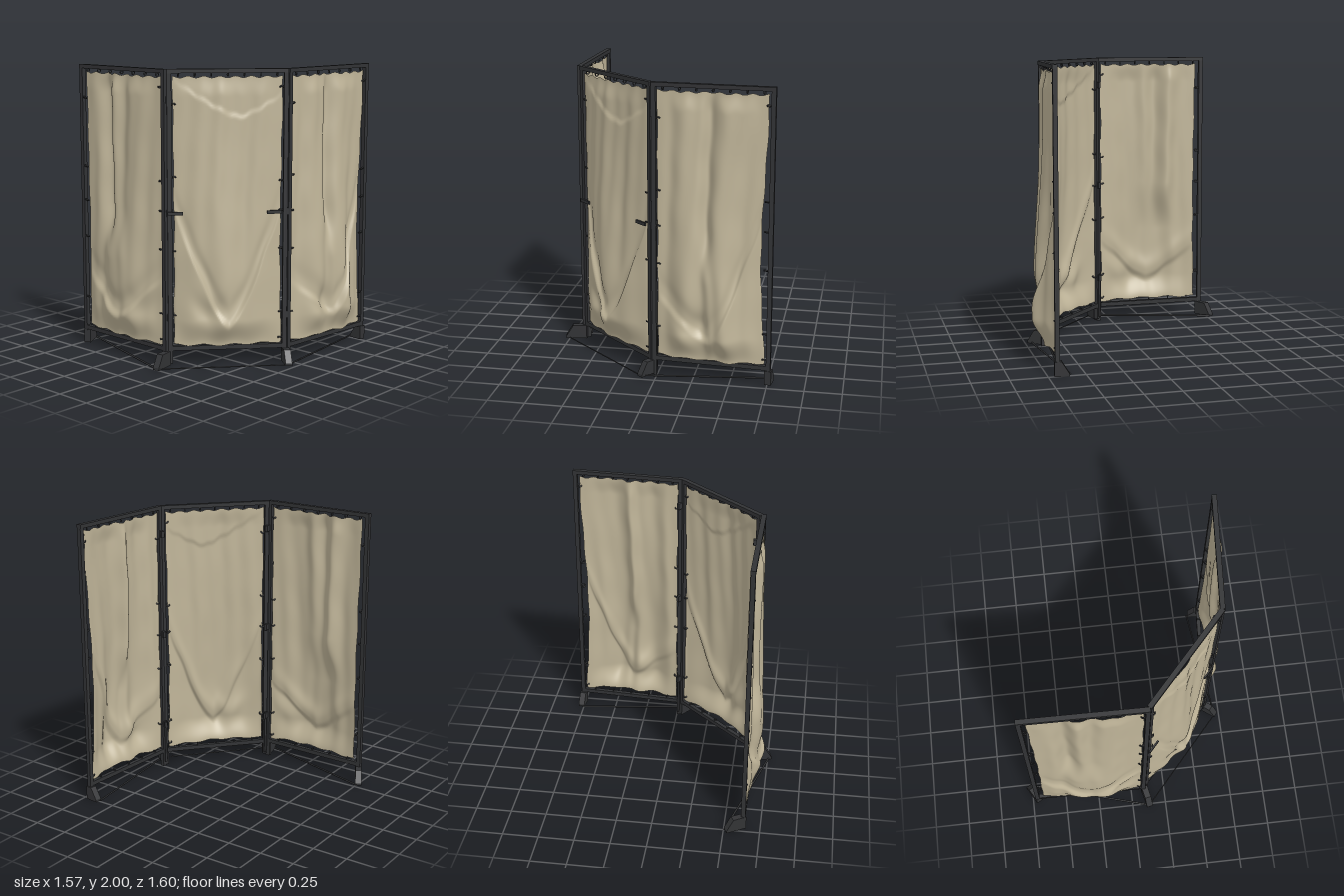
import * as THREE from 'three';

const frameMat = new THREE.MeshStandardMaterial({ color: 0x323335 });
frameMat.name = 'charcoal metal';
const clothMat = new THREE.MeshStandardMaterial({ color: 0xc0b599, side: THREE.DoubleSide });
clothMat.name = 'beige canvas';

const rise = (a, b, x) => THREE.MathUtils.smoothstep(x, a, b);
const fall = (a, b, x) => 1 - rise(a, b, x);
const bump = (x, c, s) => Math.exp(-(((x - c) / s) ** 2));

function add(parent, geo, mat, name, x = 0, y = 0, z = 0) {
  const m = new THREE.Mesh(geo, mat);
  m.name = name;
  m.position.set(x, y, z);
  parent.add(m);
  return m;
}
const box = (p, name, w, h, d, x, y, z) => add(p, new THREE.BoxGeometry(w, h, d), frameMat, name, x, y, z);

// Round bar between two points
function rod(parent, name, a, b, r) {
  const A = new THREE.Vector3(...a), B = new THREE.Vector3(...b);
  const m = add(parent, new THREE.CylinderGeometry(r, r, A.distanceTo(B), 8), frameMat, name);
  m.position.copy(A).lerp(B, 0.5);
  m.quaternion.setFromUnitVectors(new THREE.Vector3(0, 1, 0), B.sub(A).normalize());
}

// Hanging cloth: a grid pushed out by vertical folds, a low belly and draped swags.
// Each fold is [centre, width, depth at the foot, depth at the top].
function cloth(L, s) {
  const geo = new THREE.PlaneGeometry(1, 1, 100, 130);
  const p = geo.attributes.position;
  for (let i = 0; i < p.count; i++) {
    const t = p.getX(i) + 0.5, h = p.getY(i) + 0.5;
    const k = 2 * t - 1;
    const edge = Math.pow(Math.max(0, Math.sin(Math.PI * t)), 0.5);
    const ends = (0.4 + 0.6 * rise(0, 0.1, h)) * (0.5 + 0.5 * fall(0.93, 1, h));
    // outline, drawn in a little at mid height
    const waist = Math.sin(Math.PI * Math.pow(h, 0.8)) ** 2;
    const wave = 0.003 * Math.sin(h * 31);
    const x0 = s.left + s.waistL * waist + wave, x1 = L - s.right - s.waistR * waist + wave;
    const y0 = 0.148 + 0.006 * Math.cos(t * 23), y1 = 1.948 + 0.006 * Math.cos(t * 44);
    // vertical folds
    const up = rise(0.12, 0.85, h), upper = rise(0.3, 0.5, h);
    let w = 0;
    for (const [c, width, low, high] of s.folds) {
      const mix = low * high < 0 ? upper : up;
      w += (low + (high - low) * mix) * bump(t + 0.02 * Math.sin(h * 5 + c * 9), c, width);
    }
    w += 0.004 * Math.sin(t * 34 + 1.5 * Math.sin(h * 4)) * rise(0.15, 0.6, h);
    // swag hanging from both sides
    const curve = 0.09 + (k < 0 ? s.swagL : s.swagR) * Math.pow(Math.abs(k), 1.4) + 0.01 * Math.sin(t * 9);
    w += 0.022 * (fall(-0.015, 0.02, h - curve) - 0.7 * bump(h, curve + 0.05, 0.04));
    // crumpled hollow near the foot
    w -= 0.03 * bump(t, s.dent, 0.15) * bump(h, 0.15 + 0.03 * Math.sin(t * 14), 0.05);
    // folded-over upper flap
    if (s.flap) w += 0.01 * fall(-0.01, 0.01, h - (0.855 + 0.11 * Math.abs(k - 0.2) ** 1.3));
    p.setXYZ(i, x0 + (x1 - x0) * t, y0 + (y1 - y0) * h, w * edge * ends);
  }
  geo.computeVertexNormals();
  return geo;
}

// One framed panel from (x0,z0) to (x1,z1)
function panel(name, [x0, z0], [x1, z1], opts) {
  const g = new THREE.Group();
  g.name = name;
  const L = Math.hypot(x1 - x0, z1 - z0), T = 0.03;
  g.position.set(x0, 0, z0);
  g.rotation.y = Math.atan2(z0 - z1, x1 - x0);
  [[0, opts.legs[0]], [L, opts.legs[1]]].forEach(([x, y]) => box(g, 'post', T, 2 - y, T, x, 1 + y / 2, 0));
  box(g, 'topRail', L + T, 0.027, 0.034, L / 2, 1.9865, 0);
  box(g, 'bottomRail', L, T, T, L / 2, 0.123, 0);
  add(g, cloth(L, opts), clothMat, 'cloth');
  // ties round the cloth
  const small = new THREE.TorusGeometry(0.01, 0.004, 6, 12);
  for (let i = 0; i < 7; i++) {
    const x = 0.06 + (L - 0.12) * i / 6;
    add(g, small, frameMat, 'topTie', x, 1.962, 0).rotation.y = 1.2 + 0.2 * Math.sin(i * 4);
  }
  for (let i = 0; i < 5; i++) add(g, small, frameMat, 'bottomTie', 0.1 + (L - 0.2) * i / 4, 0.143, 0).rotation.y = 1.4;
  const ring = new THREE.TorusGeometry(0.012, 0.0055, 6, 12);
  [[0.028, [0.35, 0.79, 1.05, 1.29, 1.77]], [L - 0.03, [0.18, 0.36, 0.8, 1.06, 1.26, 1.88]]].forEach(([x, ys]) =>
    ys.forEach((y) => { add(g, ring, frameMat, 'sideTie', x, y, 0.004).rotation.x = 1.1; }));
  return g;
}

// Wedge foot running from the post towards its tip
function foot(parent, [x, z], [tx, tz]) {
  const len = Math.hypot(tx - x, tz - z);
  const s = new THREE.Shape();
  s.moveTo(-0.02, 0.008);
  s.lineTo(len, 0.008);
  s.lineTo(len, 0.025);
  s.lineTo(len - 0.05, 0.105);
  s.lineTo(-0.02, 0.105);
  const geo = new THREE.ExtrudeGeometry(s, { depth: 0.046, bevelEnabled: false });
  geo.translate(0, 0, -0.023);
  add(parent, geo, frameMat, 'foot', x, 0, z).rotation.y = Math.atan2(z - tz, tx - x);
}

export function createModel() {
  const root = new THREE.Group();
  root.name = 'foldingScreen';

  const rear = panel('rearPanel', [-0.632, -0.712], [-0.642, 0.09], {
    legs: [0.1, 0], left: 0.045, right: 0.022, waistL: 0.008, waistR: 0, swagL: 0.13, swagR: 0.16, dent: 0.85,
    folds: [[0.14, 0.09, 0.03, 0.02], [0.3, 0.09, 0.04, -0.06], [0.42, 0.11, 0.06, 0.045],
      [0.55, 0.07, 0.02, -0.01], [0.69, 0.15, 0.08, 0.045], [0.88, 0.08, 0.025, 0.01]],
  });
  const middle = panel('middlePanel', [-0.615, 0.11], [-0.043, 0.628], {
    legs: [0.02, 0.02], left: 0.022, right: 0.022, waistL: 0.005, waistR: 0.01, swagL: 0.42, swagR: 0.42, dent: 0.3,
    flap: true, folds: [[0.18, 0.16, 0.06, 0.02], [0.45, 0.18, 0.09, 0.035], [0.78, 0.15, 0.045, 0.02]],
  });
  const front = panel('frontPanel', [-0.018, 0.637], [0.757, 0.692], {
    legs: [0, 0.02], left: 0.022, right: 0.028, waistL: 0, waistR: 0.035, swagL: 0.14, swagR: 0.45, dent: 0.3,
    folds: [[0.1, 0.06, -0.01, -0.015], [0.27, 0.16, 0.105, 0.04], [0.49, 0.05, 0.025, -0.035],
      [0.66, 0.15, 0.115, 0.045], [0.88, 0.08, 0.035, 0.015]],
  });
  root.add(rear, middle, front);

  // feet and the thin bars joining them along the floor
  const tips = [[-0.515, -0.775], [-0.775, 0.128], [-0.105, 0.725], [0.767, 0.615]];
  const posts = [[-0.625, -0.712], [-0.645, 0.1], [-0.035, 0.632], [0.757, 0.692]];
  posts.forEach((p, i) => foot(root, p, tips[i]));
  const radii = [0.007, 0.004, 0.006];
  radii.forEach((r, i) => rod(root, 'floorBar',
    [tips[i][0] * 0.985, 0.014, tips[i][1] * 0.985], [tips[i + 1][0] * 0.985, 0.014, tips[i + 1][1] * 0.985], r));

  // hinges and drop bolts at the two folds
  for (const [x, z, turn, bx, bz] of [[-0.628, 0.1, 0.2, -0.595, 0.09], [-0.03, 0.632, 1.0, -0.012, 0.605]]) {
    for (const y of [0.34, 1.05, 1.8]) box(root, 'hinge', 0.065, 0.045, 0.02, (x + bx) / 2, y, (z + bz) / 2).rotation.y = turn;
    rod(root, 'dropBolt', [bx, 0.04, bz], [bx, 0.37, bz], 0.009);
  }

  // short latches on the outer face of the middle panel
  const L = Math.hypot(0.572, 0.518);
  for (const x of [0.035, L - 0.075]) box(middle, 'latch', 0.1, 0.022, 0.012, x, 1.05, 0.026);
  return root;
}
